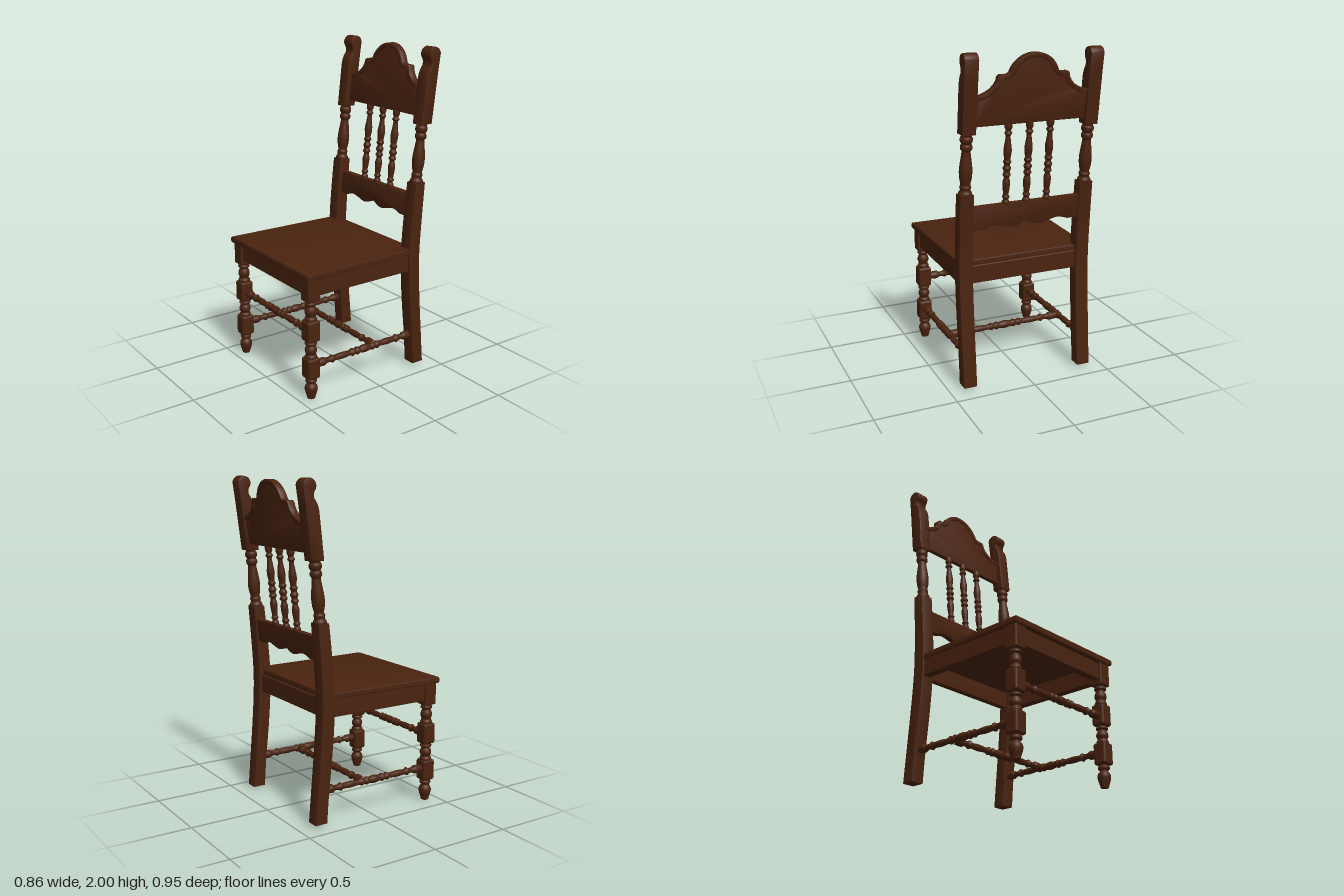
import * as THREE from 'three';
import { toCreasedNormals } from 'three/addons/utils/BufferGeometryUtils.js';
import { RoundedBoxGeometry } from 'three/addons/geometries/RoundedBoxGeometry.js';

const wood = new THREE.MeshStandardMaterial({ color: 0x4a230f });
wood.name = 'dark wood';

const V = (x, y, z) => new THREE.Vector3(x, y, z);
const POST_X = 0.378, POST_W = 0.085;

export function createModel() {
  const chair = new THREE.Group();
  chair.name = 'chair';

  const add = (name, geo, parent = chair) => {
    const mesh = new THREE.Mesh(geo, wood);
    mesh.name = name;
    parent.add(mesh);
    return mesh;
  };

  // Box given by its centre and size, with softened edges
  const block = (name, c, s, r = 0.006, parent = chair) =>
    add(name, new RoundedBoxGeometry(...s, 2, r), parent).position.set(...c);

  // Extruded board, centred on its thickness
  const board = (shape, depth, bevel = 0.006) => {
    const geo = new THREE.ExtrudeGeometry(shape, {
      depth: depth - 2 * bevel, bevelEnabled: true, bevelThickness: bevel,
      bevelSize: bevel, bevelOffset: -bevel, bevelSegments: 2, curveSegments: 12,
    });
    geo.translate(0, 0, -(depth - 2 * bevel) / 2);
    return toCreasedNormals(geo, 0.6);
  };

  // Lean a board back as it rises
  const lean = (geo, y0, z0, slope) => {
    const p = geo.attributes.position;
    for (let i = 0; i < p.count; i++) p.setZ(i, p.getZ(i) + z0 - slope * (p.getY(i) - y0));
    return toCreasedNormals(geo, 0.6);
  };

  // Lathe-turned piece between two points; profile is [fraction, radius]
  const turned = (name, a, b, profile, parent = chair) => {
    const len = a.distanceTo(b);
    const pts = new THREE.SplineCurve(profile.map(([t, r]) => new THREE.Vector2(r, t * len)))
      .getPoints(profile.length * 3);
    pts.forEach((p) => { p.x = Math.max(p.x, 0); });
    const mesh = add(name, new THREE.LatheGeometry(pts, 20), parent);
    mesh.position.copy(a);
    mesh.quaternion.setFromUnitVectors(V(0, 1, 0), b.clone().sub(a).normalize());
  };
  const mirrored = (half) => [...half, ...half.slice(0, -1).reverse().map(([t, r]) => [1 - t, r])];

  // Seat board, notched around the back posts
  const seat = new THREE.Shape([
    [-0.432, -0.475], [0.432, -0.475], [0.416, 0.285], [0.337, 0.285],
    [0.337, 0.33], [-0.337, 0.33], [-0.337, 0.285], [-0.416, 0.285],
  ].map(([x, y]) => new THREE.Vector2(x, y)));
  add('seat', board(seat, 0.042, 0.012).rotateX(-Math.PI / 2)).position.y = 0.775;

  // Aprons under the seat
  block('frontApron', [0, 0.705, 0.42], [0.69, 0.11, 0.05]);
  block('backApron', [0, 0.705, -0.32], [0.69, 0.11, 0.04]);
  for (const s of [-1, 1]) block('sideApron', [s * 0.385, 0.705, 0.05], [0.05, 0.11, 0.68]);

  // Front legs: square blocks with turnings between
  const vase = [[0, 0.032], [0.1, 0.037], [0.2, 0.031], [0.26, 0.029], [0.42, 0.036],
    [0.58, 0.033], [0.72, 0.025], [0.78, 0.035], [0.87, 0.035], [0.92, 0.029], [1, 0.036]];
  const foot = [[0, 0], [0.01, 0.022], [0.1, 0.026], [0.4, 0.038], [0.58, 0.036],
    [0.72, 0.023], [0.78, 0.033], [0.88, 0.034], [0.93, 0.029], [1, 0.036]];
  for (const s of [-1, 1]) {
    const leg = new THREE.Group();
    leg.name = s > 0 ? 'leftFrontLeg' : 'rightFrontLeg';
    leg.position.set(s * POST_X, 0, 0.42);
    chair.add(leg);
    block('legTopBlock', [0, 0.69, 0], [0.084, 0.14, 0.084], 0.008, leg);
    block('legMiddleBlock', [0, 0.435, 0], [0.084, 0.13, 0.084], 0.014, leg);
    block('legLowerBlock', [0, 0.2, 0], [0.084, 0.13, 0.084], 0.014, leg);
    turned('legUpperTurning', V(0, 0.495, 0), V(0, 0.625, 0), vase, leg);
    turned('legLowerTurning', V(0, 0.26, 0), V(0, 0.375, 0), vase, leg);
    turned('foot', V(0, 0, 0), V(0, 0.14, 0), foot, leg);
  }

  // Back posts: curved lower part, turned middle, scrolled top
  const lower = new THREE.Shape();
  lower.moveTo(-0.408, 0.02);
  lower.lineTo(-0.33, 0.02);
  lower.splineThru([[-0.317, 0.2], [-0.292, 0.45], [-0.279, 0.65], [-0.279, 0.8],
    [-0.294, 1.0], [-0.315, 1.2]].map((p) => new THREE.Vector2(...p)));
  lower.lineTo(-0.387, 1.2);
  lower.splineThru([[-0.372, 1.0], [-0.36, 0.8], [-0.36, 0.65], [-0.372, 0.45],
    [-0.393, 0.2], [-0.408, 0.02]].map((p) => new THREE.Vector2(...p)));
  const upper = new THREE.Shape();
  upper.moveTo(-0.42, 1.55);
  upper.lineTo(-0.345, 1.55);
  upper.lineTo(-0.374, 1.81);
  upper.quadraticCurveTo(-0.38, 1.86, -0.406, 1.89);
  upper.quadraticCurveTo(-0.414, 1.91, -0.404, 1.929);
  upper.absarc(-0.437, 1.957, 0.043, -0.7, Math.PI * 0.97, false);
  upper.lineTo(-0.465, 1.86);
  upper.lineTo(-0.426, 1.55);
  const postTurning = [[0, 0.037], [0.05, 0.04], [0.1, 0.03], [0.15, 0.034], [0.19, 0.028],
    [0.28, 0.035], [0.4, 0.038], [0.52, 0.034], [0.66, 0.027], [0.72, 0.026], [0.75, 0.034],
    [0.8, 0.034], [0.83, 0.028], [0.87, 0.036], [0.92, 0.036], [0.95, 0.03], [1, 0.039]];
  for (const s of [-1, 1]) {
    const post = new THREE.Group();
    post.name = s > 0 ? 'leftBackPost' : 'rightBackPost';
    post.position.x = s * POST_X;
    chair.add(post);
    add('postLower', board(lower, POST_W).rotateY(-Math.PI / 2), post);
    add('postScroll', board(upper, POST_W, 0.008).rotateY(-Math.PI / 2), post);
    turned('postTurning', V(0, 1.19, -0.351), V(0, 1.56, -0.384), postTurning, post);
  }

  // Crest rail: arched panel with a raised rim along its top
  const half = [];
  for (let i = 0; i <= 12; i++) {
    const a = Math.PI / 2 - (i / 12) * 1.25;
    half.push([0.153 * Math.cos(a), 1.834 + 0.153 * Math.sin(a)]);
  }
  half.push([0.16, 1.873], [0.204, 1.873], [0.215, 1.862], [0.219, 1.84], [0.232, 1.817],
    [0.252, 1.797], [0.28, 1.78], [0.305, 1.769], [0.345, 1.762]);
  const top = [...half.slice(1).reverse().map(([x, y]) => [-x, y]), ...half]
    .map((p) => new THREE.Vector2(...p));
  const inner = top.map((p, i) => {
    const d = top[Math.min(i + 1, top.length - 1)].clone().sub(top[Math.max(i - 1, 0)]).normalize();
    return new THREE.Vector2(p.x + d.y * 0.028, p.y - d.x * 0.028);
  });
  const panel = new THREE.Shape([new THREE.Vector2(-0.345, 1.59), ...top, new THREE.Vector2(0.345, 1.59)]);
  const rim = new THREE.Shape([...top, ...inner.reverse()]);
  add('crestPanel', lean(board(panel, 0.032, 0.003), 1.6, -0.398, 0.14));
  add('crestRim', lean(board(rim, 0.048, 0.005), 1.6, -0.398, 0.14));

  // Lower back rail with a scalloped bottom edge
  const rail = new THREE.Shape();
  rail.moveTo(-0.345, 1.12);
  rail.lineTo(-0.345, 0.978);
  rail.lineTo(-0.27, 0.978);
  rail.splineThru([[-0.235, 0.99], [-0.2, 0.995], [-0.15, 0.985], [-0.09, 0.972], [-0.045, 0.98],
    [0, 1.0], [0.045, 0.98], [0.09, 0.972], [0.15, 0.985], [0.2, 0.995], [0.235, 0.99],
    [0.27, 0.978]].map((p) => new THREE.Vector2(...p)));
  rail.lineTo(0.345, 0.978);
  rail.lineTo(0.345, 1.12);
  add('lowerBackRail', lean(board(rail, 0.042, 0.004), 1.05, -0.344, 0.09));

  // Turned back spindles
  const spindle = [[0, 0.02], [0.04, 0.022], [0.07, 0.015], [0.1, 0.022], [0.13, 0.016],
    [0.2, 0.02], [0.28, 0.022], [0.34, 0.015], [0.37, 0.024], [0.41, 0.017], [0.45, 0.025],
    [0.49, 0.016], [0.53, 0.024], [0.56, 0.018], [0.66, 0.024], [0.76, 0.018], [0.84, 0.014],
    [0.87, 0.023], [0.9, 0.015], [0.94, 0.022], [1, 0.021]];
  for (const x of [-0.13, 0, 0.13])
    turned('backSpindle', V(x, 1.11, -0.351), V(x, 1.6, -0.395), spindle);

  // Stretchers between the legs
  const stretcher = mirrored([[0, 0.022], [0.05, 0.025], [0.08, 0.025], [0.1, 0.017], [0.14, 0.017],
    [0.16, 0.025], [0.185, 0.017], [0.26, 0.02], [0.34, 0.016], [0.37, 0.024], [0.395, 0.017],
    [0.42, 0.025], [0.445, 0.019], [0.5, 0.025]]);
  turned('frontStretcher', V(-0.34, 0.428, 0.42), V(0.34, 0.428, 0.42), stretcher);
  turned('crossStretcher', V(-0.37, 0.212, -0.05), V(0.37, 0.212, -0.05), stretcher);
  for (const s of [-1, 1])
    turned('sideStretcher', V(s * POST_X, 0.212, 0.385), V(s * POST_X, 0.212, -0.33), stretcher);

  return chair;
}
